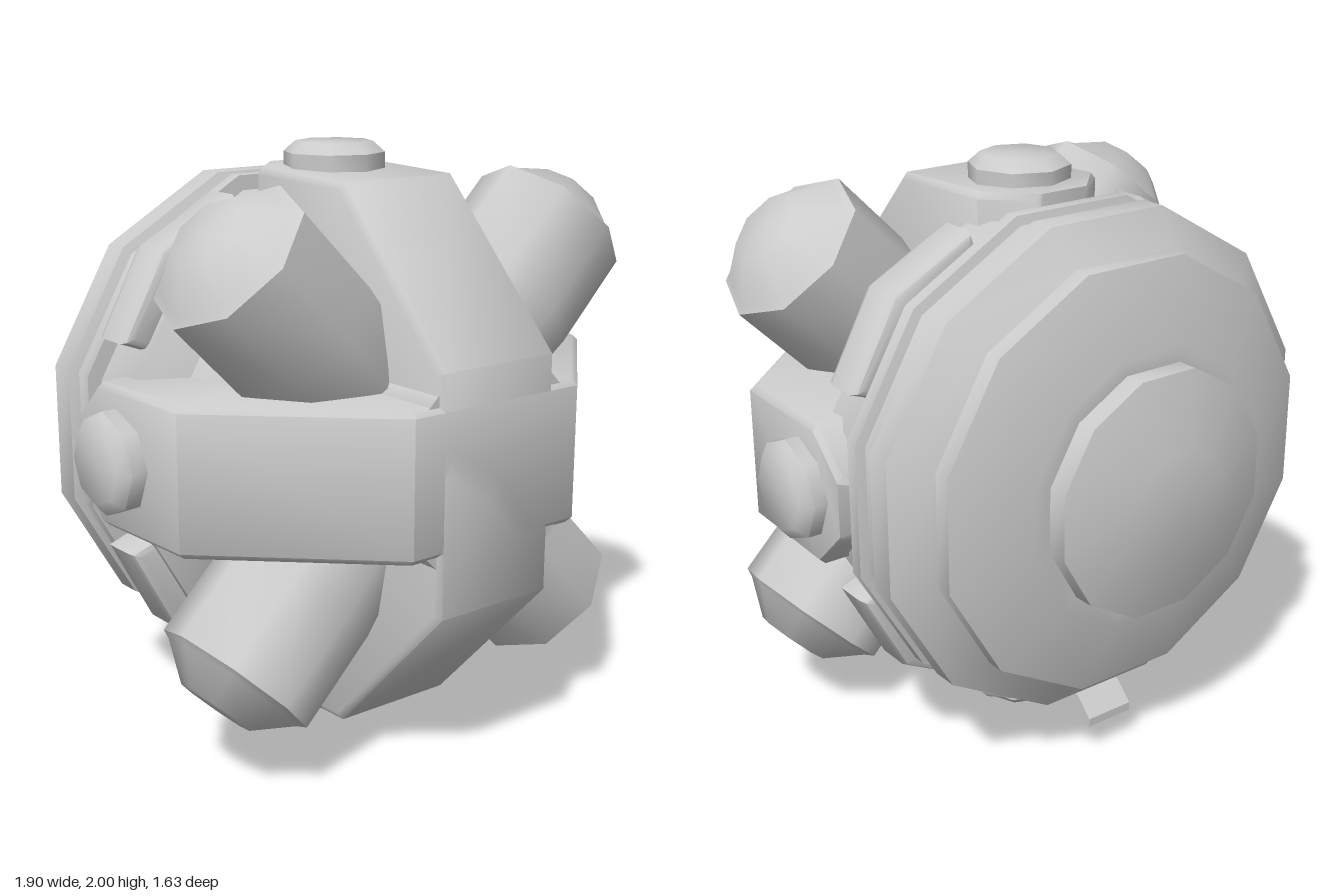
import * as THREE from 'three';
import { toCreasedNormals } from 'three/addons/utils/BufferGeometryUtils.js';

const MID = 1.05; // height of the body's axis
const CREASE = 0.8;
const grey = new THREE.MeshStandardMaterial({ color: 0xcccccc, side: THREE.DoubleSide });

export function createModel() {
  const model = new THREE.Group();

  const add = (name, geometry, x = 0, y = MID, z = 0, crease = CREASE) => {
    const mesh = new THREE.Mesh(toCreasedNormals(geometry, crease), grey);
    mesh.name = name;
    mesh.position.set(x, y, z);
    model.add(mesh);
    return mesh;
  };

  // Turned solid from [radius, height] pairs
  const turned = (pairs, sides, start = 0) =>
    new THREE.LatheGeometry(pairs.map(([r, h]) => new THREE.Vector2(r, h)), sides, start);

  const shapeOf = (pairs) => new THREE.Shape(pairs.map(([x, y]) => new THREE.Vector2(x, y)));

  // Twelve-sided body with stepped back cap; radii are measured to the flats
  const flat = 1 / Math.cos(Math.PI / 12);
  const profile = [
    [0, -0.82], [0.17, -0.82], [0.4, -0.75], [0.4, -0.68], [0.45, -0.68],
    [0.71, -0.59], [0.71, -0.53], [0.83, -0.45], [0.83, -0.36], [0.8, -0.345],
    [0.8, -0.29], [0.83, -0.28], [0.83, -0.235], [0.78, -0.23], [0.78, -0.04],
    [0.65, 0.04], [0.55, 0.3], [0.25, 0.48], [0, 0.5],
  ].map(([r, h]) => [r * flat, h]);
  add('body', turned(profile, 12, Math.PI / 12).rotateX(Math.PI / 2), 0, MID, 0, 0.55);

  // Strap wrapped over the front, lofted from bevelled cross-sections
  const strapGeometry = (farOffset) => {
    // outer reach, outer z, half width, inner reach, inner z
    const half = [
      [0.87, -0.235, 0.11, 0.3, -0.235],
      [0.87, -0.1, 0.24, 0.3, -0.1],
      [0.855, 0.33, 0.24, 0.2, 0.1],
      [0.34, 0.815, 0.24, 0.1, 0.2],
    ];
    const far = half.map(([u, z, w, qu, qz]) => [-u - farOffset, z, w, -qu, qz]).reverse();
    const stations = [...half, ...far];
    const positions = [];
    const index = [];
    const n = 6;
    for (const [u, z, w, qu, qz] of stations) {
      const s = 0.975;
      positions.push(
        qu, -w, qz, u * s, -w, z * s, u, -w + 0.02, z,
        u, w - 0.02, z, u * s, w, z * s, qu, w, qz);
    }
    const last = (stations.length - 1) * n;
    for (let i = 0; i < stations.length - 1; i++) {
      for (let k = 0; k < n - 1; k++) {
        const a = i * n + k;
        index.push(a, a + 1, a + n + 1, a, a + n + 1, a + n);
      }
    }
    for (let k = 1; k < n - 1; k++) {
      index.push(0, k + 1, k, last, last + k, last + k + 1);
    }
    const geometry = new THREE.BufferGeometry();
    geometry.setAttribute('position', new THREE.Float32BufferAttribute(positions, 3));
    geometry.setIndex(index);
    return geometry;
  };
  add('crossStrap', strapGeometry(0), 0, MID, 0, 0.84);
  add('uprightStrap', strapGeometry(0.1).rotateZ(Math.PI / 2), 0, MID, 0, 0.84);

  // Small chamfers in the inner corners of the cross
  const a = 0.23, b = 0.28;
  add('strapCorners', new THREE.ExtrudeGeometry(
    shapeOf([[b, -a], [b, a], [a, b], [-a, b], [-b, a], [-b, -a], [-a, -b], [a, -b]]),
    { depth: 0.6, bevelEnabled: false }), 0, MID, 0.2);

  // Octagonal studs at the four strap ends
  const up = new THREE.Vector3(0, 1, 0);
  const studs = [[1, 0, 0], [-1, 0, 0], [0, 1, 0], [0, -1, 0.1]];
  for (const [dx, dy, offset] of studs) {
    const direction = new THREE.Vector3(dx, dy, 0);
    const stud = add('stud', turned(
      [[0.17, 0.8], [0.17, 0.915], [0.13, 0.95], [0, 0.95]], 8));
    stud.quaternion.setFromUnitVectors(up, direction);
    stud.position.addScaledVector(direction, offset);
  }

  // Four diagonal barrels and the bent pads behind them
  const arc = (radius, degrees) => {
    const t = THREE.MathUtils.degToRad(degrees);
    return [radius * Math.cos(t), radius * Math.sin(t)];
  };
  const padShape = shapeOf([
    arc(0.72, 27), arc(0.835, 26), arc(0.87, 45), arc(0.835, 64), arc(0.72, 63), arc(0.74, 45),
  ]);
  for (let i = 0; i < 4; i++) {
    const angle = Math.PI / 4 + i * Math.PI / 2;
    const barrel = add('barrel', turned([
      [0.2, 0.2], [0.25, 0.4], [0.275, 0.6], [0.275, 0.95],
      [0.245, 0.965], [0.13, 1.06], [0, 1.06],
    ], 8), 0, MID, 0.345);
    barrel.quaternion.setFromUnitVectors(up, new THREE.Vector3(Math.cos(angle), Math.sin(angle), 0));

    const pad = add('pad', new THREE.ExtrudeGeometry(padShape, {
      depth: 0.11, bevelThickness: 0.03, bevelSize: 0.03, bevelSegments: 2,
    }), 0, MID, -0.2);
    pad.rotation.z = i * Math.PI / 2;
  }

  // Small latch under the back
  const latch = new THREE.ExtrudeGeometry(
    shapeOf([[0.15, 0.12], [0.515, 0.115], [0.515, 0.145], [0.45, 0.21], [0.15, 0.21]]),
    { depth: 0.18, bevelEnabled: false });
  add('latch', latch.translate(0, 0, -0.09).rotateY(Math.PI / 2), 0, 0, 0, 0.3);

  return model;
}
